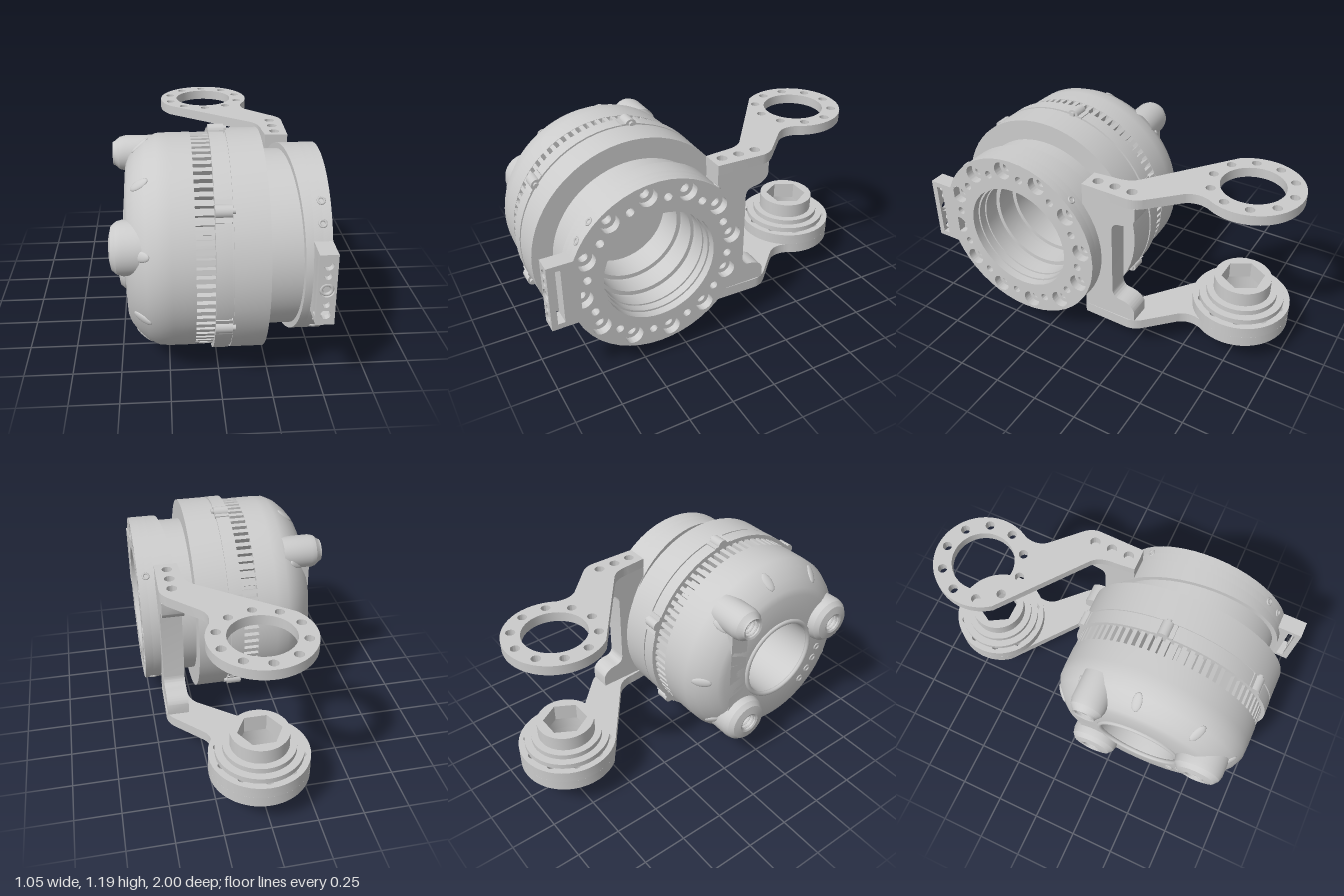
import * as THREE from 'three';
import { toCreasedNormals } from 'three/addons/utils/BufferGeometryUtils.js';

const TAU = Math.PI * 2, CY = 0.605, CZ = 0.41; // drum axis runs along x
const mat = new THREE.MeshStandardMaterial({ color: 0xcccccc, side: THREE.DoubleSide });
const rad = d => d * Math.PI / 180;

function add(parent, name, geo, x = 0, y = 0, z = 0) {
  const m = new THREE.Mesh(geo, mat);
  m.name = name;
  m.position.set(x, y, z);
  parent.add(m);
  return m;
}
const circle = (x, y, r) => new THREE.Path().absarc(x, y, r, 0, TAU, true);
function disk(x, y, r, holes = []) {
  const s = new THREE.Shape().absarc(x, y, r, 0, TAU, false);
  s.holes.push(...holes);
  return s;
}
function extrude(shape, a, b) {
  const g = new THREE.ExtrudeGeometry(shape, { depth: b - a, bevelEnabled: false, curveSegments: 24 });
  return toCreasedNormals(g.translate(0, 0, a), 0.5);
}
// Extrusion along x: shape is drawn in (-z, y)
const alongX = (s, a, b) => extrude(s, a, b).rotateY(Math.PI / 2);
// Extrusion along y: shape is drawn in (x, -z)
const alongY = (s, a, b) => extrude(s, a, b).rotateX(-Math.PI / 2);
// Lathe about x from [x, radius] pairs
function latheX(pts, seg = 64) {
  const g = new THREE.LatheGeometry(pts.map(p => new THREE.Vector2(p[1], p[0])), seg);
  return toCreasedNormals(g.rotateZ(-Math.PI / 2), 0.45);
}
function boltCircle(n, r, hr, start, cx = 0, cy = 0) {
  return Array.from({ length: n }, (_, i) => {
    const a = rad(start) + i * TAU / n;
    return circle(cx + r * Math.cos(a), cy + r * Math.sin(a), hr);
  });
}
function box(parent, name, x0, x1, y0, y1, z0, z1) {
  return add(parent, name, new THREE.BoxGeometry(x1 - x0, y1 - y0, z1 - z0),
    (x0 + x1) / 2, (y0 + y1) / 2, (z0 + z1) / 2);
}
// Group turned about the drum axis: 0 deg = +z, 90 deg = +y
function spoke(parent, deg) {
  const g = new THREE.Group();
  g.rotation.x = -rad(deg);
  parent.add(g);
  return g;
}

function makeDrum() {
  const d = new THREE.Group();
  d.name = 'drum';
  d.position.set(0, CY, CZ);
  // Domed housing, vent recess, flange, neck and stepped bore
  add(d, 'housing', latheX([
    [-0.45, 0.23], [-0.45, 0.4], [-0.435, 0.435], [-0.4, 0.48], [-0.35, 0.525], [-0.295, 0.552], [-0.23, 0.555],
    [-0.12, 0.555], [-0.12, 0.515], [-0.03, 0.515], [-0.03, 0.575], [0.045, 0.575], [0.045, 0.565], [0.055, 0.565],
    [0.055, 0.573], [0.225, 0.573], [0.225, 0.46], [0.43, 0.46], [0.43, 0.295],
    [0.36, 0.295], [0.36, 0.31], [0.32, 0.31], [0.32, 0.285], [0.22, 0.285], [0.22, 0.3], [0.18, 0.3],
    [0.18, 0.275], [0, 0.275], [0, 0.225], [-0.43, 0.225], [-0.45, 0.23]]));
  add(d, 'boreRim', new THREE.TorusGeometry(0.237, 0.014, 8, 48).rotateY(Math.PI / 2), -0.45);

  // Inner partition with a narrow window and a hub
  const slot = new THREE.Path().moveTo(0.085, -0.03).lineTo(0.085, 0.035).lineTo(0.11, 0.035).lineTo(0.11, -0.03);
  add(d, 'partition', alongX(disk(0, 0, 0.28, [slot]), -0.01, 0.02));
  add(d, 'hub', latheX([[0.0, 0.05], [0.05, 0.05], [0.05, 0.035], [0.03, 0.035], [0.03, 0]], 24));

  // Ribs between the cooling vents
  for (let i = 0; i < 76; i++) {
    const s = spoke(d, i * 360 / 76);
    box(s, 'ventRib', -0.121, -0.029, -0.012, 0.012, 0.5, 0.553);
  }
  // Flange lugs with bolts
  for (let i = 0; i < 6; i++) {
    const s = spoke(d, 38 + i * 60);
    add(s, 'flangeLug', new THREE.CylinderGeometry(0.032, 0.032, 0.08, 20).rotateZ(Math.PI / 2), 0.01, 0, 0.57);
    box(s, 'lugBase', -0.03, 0.05, -0.055, 0.055, 0.54, 0.578);
    add(s, 'lugBolt', new THREE.CylinderGeometry(0.014, 0.014, 0.02, 12).rotateZ(Math.PI / 2), 0.055, 0, 0.578);
  }
  // Oval scoops round the dome
  for (let i = 0; i < 9; i++) {
    const m = add(spoke(d, 17 + i * 40), 'domeScoop', new THREE.SphereGeometry(1, 20, 10), -0.375, 0, 0.5);
    m.scale.set(0.056, 0.027, 0.012);
    m.rotation.y = -0.72;
  }
  // Rounded sockets on the domed end
  for (const [y, z, r] of [[0.375, -0.29, 0.095], [0.13, 0.35, 0.135], [-0.3, -0.26, 0.138]]) {
    const h = 0.05;
    add(d, 'domeSocket', latheX([[-0.4, h], [-0.52, h], [-0.525, h + 0.012], [-0.515, r - 0.03],
      [-0.49, r - 0.008], [-0.46, r], [-0.3, r]], 32), 0, y, z);
    add(d, 'socketFloor', new THREE.CylinderGeometry(h, h, 0.01, 24).rotateZ(Math.PI / 2), -0.42, y, z);
    for (let i = 0; i < 3; i++)
      add(d, 'socketThread', new THREE.TorusGeometry(h, 0.005, 6, 24).rotateY(Math.PI / 2), -0.505 + i * 0.025, y, z);
  }
  // Raised rib joining the two rear sockets
  box(d, 'domeRib', -0.45, -0.36, -0.3, 0.38, -0.36, -0.25);
  // Small plugs beside the bore
  for (let i = 0; i < 4; i++)
    add(spoke(d, -12 - i * 13), 'domePlug', new THREE.TorusGeometry(0.018, 0.006, 6, 16).rotateY(Math.PI / 2), -0.45, 0, 0.33);
  return d;
}

function makeFacePlate() {
  const p = new THREE.Group();
  p.name = 'facePlate';
  p.position.set(0, CY, CZ);
  // Ring layers: wide counterbores over narrow bolt holes
  const small = () => boltCircle(12, 0.395, 0.022, 83);
  add(p, 'boltRingOuter', alongX(disk(0, 0, 0.49,
    [circle(0, 0, 0.31), ...boltCircle(12, 0.422, 0.05, 98 - 30), ...small()]), 0.48, 0.525));
  add(p, 'boltRingInner', alongX(disk(0, 0, 0.49,
    [circle(0, 0, 0.3), ...boltCircle(12, 0.422, 0.026, 98 - 30), ...small()]), 0.435, 0.48));
  // Wedge ring: its back face leans with z
  const wedge = alongX(disk(0, 0, 0.49, [circle(0, 0, 0.305)]), 0.31, 0.435);
  const pos = wedge.attributes.position;
  for (let i = 0; i < pos.count; i++)
    if (pos.getX(i) < 0.4) pos.setX(i, 0.31 + 0.1 * (pos.getZ(i) + CZ));
  wedge.computeVertexNormals();
  add(p, 'wedgeRing', toCreasedNormals(wedge, 0.5));
  // Set screws round the rim
  for (const a of [-45, -33, 32, 45, 135, 225])
    add(spoke(p, a), 'rimScrew', new THREE.TorusGeometry(0.016, 0.006, 6, 16), 0.48, 0, 0.49);
  return p;
}

function makeSideBlock() {
  const b = new THREE.Group();
  b.name = 'sideBlock';
  // Perforated front strip, standing off from the ring by a slot
  const s = new THREE.Shape().moveTo(0.435, 0.42).lineTo(0.525, 0.42).lineTo(0.525, 0.79).lineTo(0.435, 0.79);
  for (const [y, r] of [[0.475, 0.024], [0.53, 0.018], [0.605, 0.036], [0.68, 0.018], [0.735, 0.024]])
    s.holes.push(circle(0.48, y, r));
  add(b, 'blockStrip', extrude(s, 0.968, 1.0));
  box(b, 'blockEnd', 0.435, 0.525, 0.42, 0.45, 0.85, 0.97);
  box(b, 'blockEnd', 0.435, 0.525, 0.76, 0.79, 0.85, 0.97);
  box(b, 'blockBack', 0.435, 0.525, 0.42, 0.79, 0.84, 0.93);
  add(b, 'blockScrew', new THREE.TorusGeometry(0.026, 0.009, 8, 24), 0.48, 0.605, 0.988);
  return b;
}

const RX = 0.01, RW = 0.73; // arm ring centre in (x, -z)
const ringHoles = () => boltCircle(10, 0.22, 0.025, 90, RX, RW);

function armShape(bore) {
  const s = new THREE.Shape().moveTo(0.31, -0.03);
  s.lineTo(0.435, -0.03).lineTo(0.44, 0.23);
  s.quadraticCurveTo(0.44, 0.28, 0.4, 0.32).lineTo(0.26, 0.46);
  s.quadraticCurveTo(0.215, 0.51, 0.239, 0.587);
  s.absarc(RX, RW, 0.27, rad(-32), rad(218), false);
  s.lineTo(0.25, 0.21).quadraticCurveTo(0.3, 0.17, 0.3, 0.08);
  s.holes.push(circle(RX, RW, bore), ...ringHoles());
  for (const w of [0.03, 0.13, 0.23]) s.holes.push(circle(0.37, w, 0.028));
  return s;
}

function makeBracket() {
  const g = new THREE.Group();
  g.name = 'bracket';
  add(g, 'upperArm', alongY(armShape(0.17), 0.98, 1.035));
  add(g, 'lowerArm', alongY(armShape(0.155), 0.175, 0.235));
  // Stepped collar on the lower arm, ending in a hexagonal socket
  const bore = () => circle(RX, RW, 0.155);
  add(g, 'lowerRing', alongY(disk(RX, RW, 0.27, [bore(), ...ringHoles()]), 0.235, 0.3));
  add(g, 'collarStep', alongY(disk(RX, RW, 0.235, [bore()]), 0.3, 0.33));
  add(g, 'collarStep', alongY(disk(RX, RW, 0.195, [bore()]), 0.33, 0.36));
  const hex = new THREE.Path().setFromPoints(Array.from({ length: 6 }, (_, i) =>
    new THREE.Vector2(RX + 0.12 * Math.cos(i * TAU / 6), RW + 0.12 * Math.sin(i * TAU / 6))));
  add(g, 'hexSocket', alongY(disk(RX, RW, 0.157, [hex]), 0.35, 0.445));
  // Web that ties both arms to the ring, drawn in (-z, y)
  const w = new THREE.Shape().moveTo(-0.03, 0.235);
  w.lineTo(0.28, 0.235).lineTo(0.28, 0.3).quadraticCurveTo(0.26, 0.35, 0.19, 0.355);
  w.quadraticCurveTo(0.145, 0.36, 0.145, 0.41).lineTo(0.145, 0.8);
  w.quadraticCurveTo(0.145, 0.85, 0.19, 0.855).quadraticCurveTo(0.26, 0.86, 0.28, 0.91);
  w.lineTo(0.28, 0.98).lineTo(-0.03, 0.98);
  add(g, 'bracketWeb', alongX(w, 0.315, 0.434));
  return g;
}

export function createModel() {
  const model = new THREE.Group();
  model.name = 'motorJoint';
  model.add(makeDrum(), makeFacePlate(), makeSideBlock(), makeBracket());
  return model;
}
